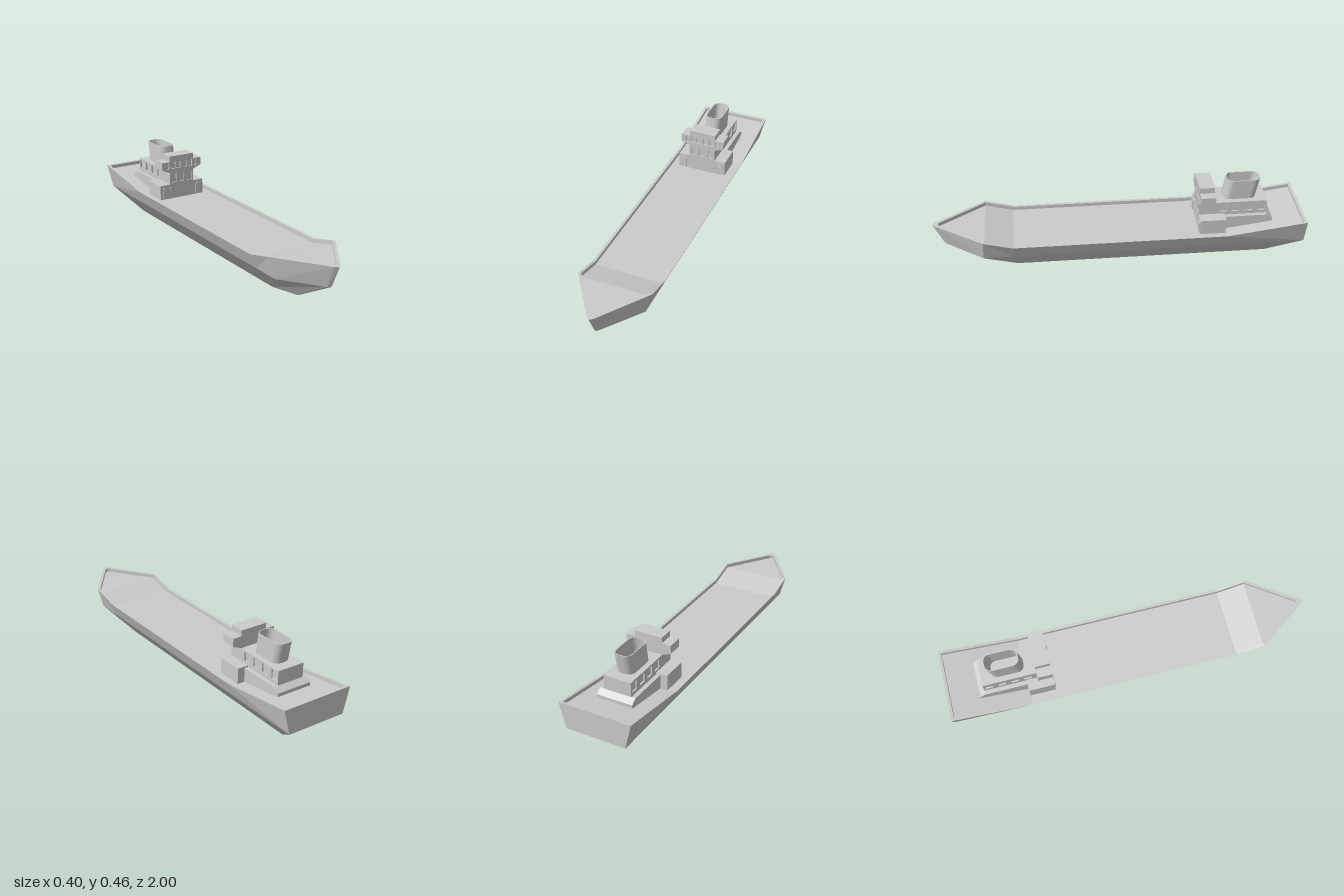
import * as THREE from 'three';

const material = new THREE.MeshStandardMaterial({ color: 0xcccccc, flatShading: true });
const smooth = new THREE.MeshStandardMaterial({ color: 0xcccccc, side: THREE.DoubleSide });

function add(parent, name, geometry, mat = material) {
  const mesh = new THREE.Mesh(geometry, mat);
  mesh.name = name;
  parent.add(mesh);
  return mesh;
}

// Box given by its lower and upper corners
function block(parent, name, [x0, y0, z0], [x1, y1, z1]) {
  const mesh = add(parent, name, new THREE.BoxGeometry(x1 - x0, y1 - y0, z1 - z0));
  mesh.position.set((x0 + x1) / 2, (y0 + y1) / 2, (z0 + z1) / 2);
  return mesh;
}

const polygon = pts => new THREE.Shape(pts.map(p => new THREE.Vector2(...p)));
const extrude = (shape, depth, curveSegments = 8) =>
  new THREE.ExtrudeGeometry(shape, { depth, bevelEnabled: false, curveSegments });

function rectangle(x0, y0, x1, y1) {
  return polygon([[x0, y0], [x1, y0], [x1, y1], [x0, y1]]);
}

// Wall panel pierced by windows [x0, y0, x1, y1]
function piercedWall(shape, windows, depth) {
  windows.forEach(w => shape.holes.push(rectangle(...w)));
  return extrude(shape, depth);
}

function roundedRectangle(w, h, r, Type = THREE.Shape) {
  const s = new Type();
  s.moveTo(w, -h + r);
  s.lineTo(w, h - r);
  s.absarc(w - r, h - r, r, 0, Math.PI / 2);
  s.absarc(-w + r, h - r, r, Math.PI / 2, Math.PI);
  s.absarc(-w + r, -h + r, r, Math.PI, Math.PI * 1.5);
  s.absarc(w - r, -h + r, r, Math.PI * 1.5, Math.PI * 2);
  return s;
}

// Hull lofted through half outlines, each running from the stern to the stem
function hullGeometry() {
  const inner = [[0.185, 0.273, -0.985], [0.185, 0.215, -0.57], [0.185, 0.215, 0.57],
    [0.185, 0.255, 0.72], [0.014, 0.255, 0.96], [0, 0.255, 0.968]];
  const levels = [
    // keel
    [[0.05, 0, -0.82], [0.05, 0, -0.57], [0.05, 0, 0.5], [0.05, 0, 0.555], [0.004, 0, 0.695], [0, 0, 0.7]],
    // chine
    [[0.165, 0.135, -1], [0.165, 0.135, -0.57], [0.165, 0.135, 0.57], [0.165, 0.135, 0.73],
      [0.014, 0.135, 0.935], [0, 0.135, 0.945]],
    // outer rail
    [[0.2, 0.275, -1], [0.2, 0.215, -0.57], [0.2, 0.215, 0.57], [0.2, 0.255, 0.725],
      [0.018, 0.255, 0.985], [0, 0.255, 1]],
    // inner rail, then deck edge
    inner,
    inner.map(([x, y, z]) => [x, y - 0.02, z]),
  ];
  const out = [];
  const flip = ([x, y, z]) => [-x, y, z];
  const quad = (a, b, c, d) => out.push(...a, ...b, ...c, ...a, ...c, ...d);
  for (let l = 0; l < levels.length - 1; l++) {
    const low = levels[l], high = levels[l + 1];
    for (let i = 0; i < low.length - 1; i++) {
      const [a, b, c, d] = [low[i], low[i + 1], high[i + 1], high[i]];
      quad(a, d, c, b);
      quad(flip(a), flip(b), flip(c), flip(d));
    }
    quad(low[0], flip(low[0]), flip(high[0]), high[0]);
  }
  const keel = levels[0], deck = levels[levels.length - 1];
  for (let i = 0; i < keel.length - 1; i++) {
    quad(flip(deck[i]), flip(deck[i + 1]), deck[i + 1], deck[i]);
    quad(keel[i], keel[i + 1], flip(keel[i + 1]), flip(keel[i]));
  }
  const geometry = new THREE.BufferGeometry();
  geometry.setAttribute('position', new THREE.Float32BufferAttribute(out, 3));
  geometry.computeVertexNormals();
  return geometry;
}

// Hollow funnel, raked aft and slightly longer at the top
function funnelGeometry() {
  const shape = roundedRectangle(0.048, 0.0885, 0.036);
  shape.holes.push(roundedRectangle(0.043, 0.0835, 0.031, THREE.Path));
  const geometry = extrude(shape, 0.116, 8).rotateX(-Math.PI / 2);
  const p = geometry.attributes.position;
  for (let i = 0; i < p.count; i++) {
    const t = p.getY(i) / 0.116;
    p.setZ(i, p.getZ(i) * (1 + 0.034 * t) - 0.02 * t);
  }
  geometry.computeVertexNormals();
  return geometry;
}

function createSuperstructure() {
  const group = new THREE.Group();
  group.name = 'superstructure';

  // Wide base with arched doors
  block(group, 'houseBase', [-0.14, 0.19, -0.57], [0.14, 0.28, -0.431]);
  for (const side of [-1, 1]) {
    const arch = new THREE.Shape();
    arch.moveTo(-0.016, 0.2);
    arch.lineTo(0.016, 0.2);
    arch.lineTo(0.016, 0.25);
    arch.absarc(0, 0.25, 0.016, 0, Math.PI);
    add(group, 'baseDoor', extrude(arch, 0.006)).position.set(side * 0.11, 0, -0.432);
    const knob = add(group, 'doorPorthole', new THREE.CylinderGeometry(0.005, 0.005, 0.004, 10));
    knob.rotation.x = Math.PI / 2;
    knob.position.set(side * 0.11, 0.245, -0.425);
  }

  // Lower tier with a sloped aft end
  const tier = polygon([[0.5, 0.19], [0.83, 0.19], [0.83, 0.25], [0.8, 0.272], [0.5, 0.272]]);
  add(group, 'lowerTier', extrude(tier, 0.2).rotateY(Math.PI / 2)).position.x = -0.1;

  // Deck house with recessed side windows
  block(group, 'houseCore', [-0.069, 0.19, -0.8], [0.069, 0.35, -0.438]);
  const sideWindows = [0.56, 0.63, 0.7, 0.77].map(z => [z - 0.021, 0.292, z + 0.021, 0.34]);
  for (const x of [-0.077, 0.069]) {
    const wall = piercedWall(rectangle(0.438, 0.19, 0.8, 0.35), sideWindows, 0.008);
    add(group, 'houseSideWall', wall.rotateY(Math.PI / 2)).position.x = x;
  }

  // Bridge with wings, and a front wall reaching down over the house
  const bridge = foot => {
    const half = [[0.077, foot], [0.077, 0.35], [0.127, 0.37], [0.127, 0.415], [0.077, 0.415], [0.077, 0.447]];
    return polygon([...half, ...half.map(([x, y]) => [-x, y]).reverse()]);
  };
  const windows = [[-0.016, 0.29, 0.016, 0.342]];
  for (const s of [-1, 1]) {
    const pane = (a, b, y0, y1) => windows.push([Math.min(s * a, s * b), y0, Math.max(s * a, s * b), y1]);
    pane(0.035, 0.067, 0.29, 0.342);
    pane(0.007, 0.037, 0.373, 0.41);
    pane(0.04, 0.07, 0.373, 0.41);
    pane(0.081, 0.099, 0.371, 0.411);
  }
  add(group, 'bridge', extrude(bridge(0.34), 0.072)).position.z = -0.51;
  add(group, 'bridgeFrontWall', piercedWall(bridge(0.19), windows, 0.008)).position.z = -0.438;

  add(group, 'funnel', funnelGeometry(), smooth).position.set(0, 0.346, -0.6535);
  return group;
}

export function createModel() {
  const ship = new THREE.Group();
  ship.name = 'cargoShip';
  add(ship, 'hull', hullGeometry());
  ship.add(createSuperstructure());
  return ship;
}
